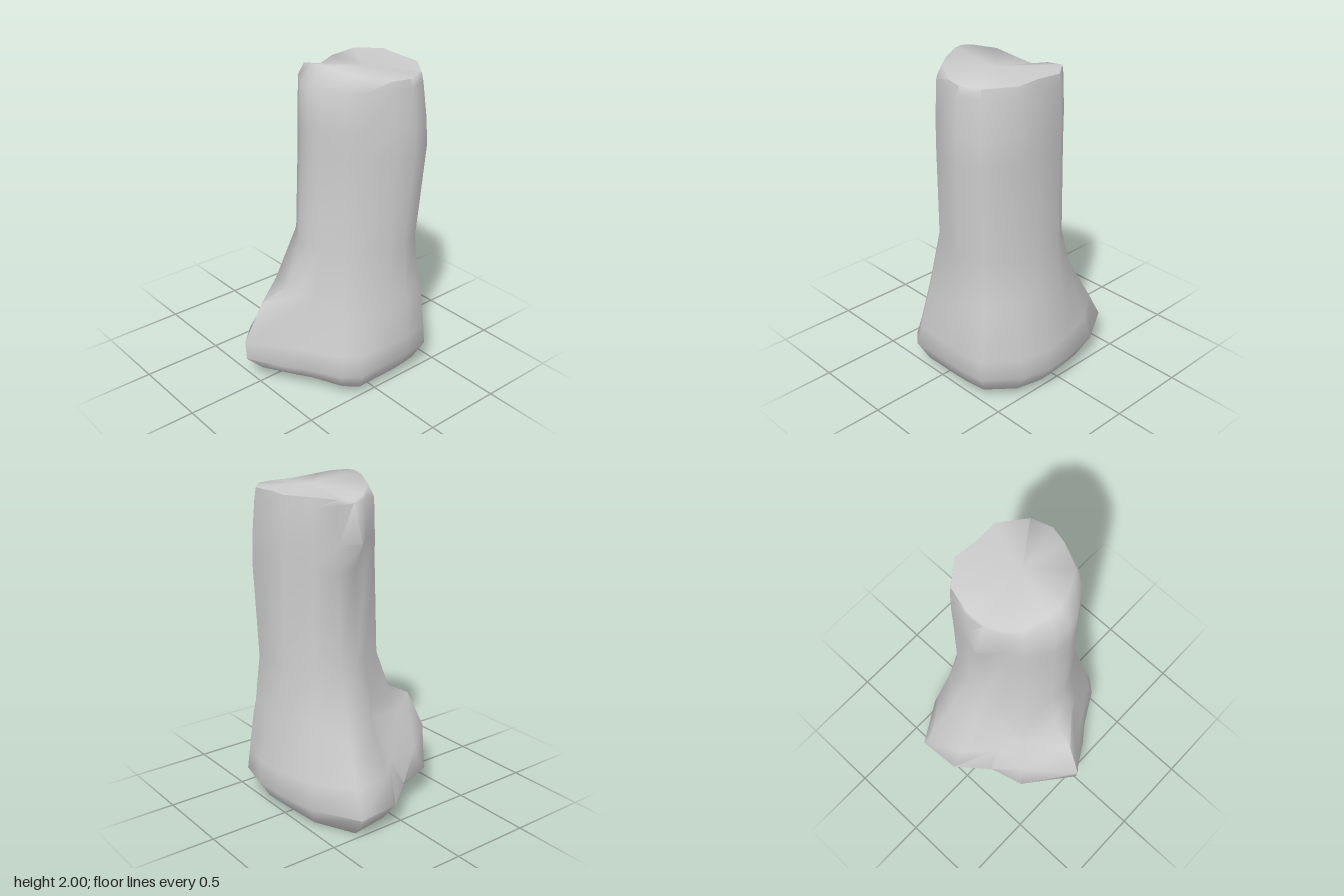
import * as THREE from 'three';
import { toCreasedNormals } from 'three/addons/utils/BufferGeometryUtils.js';

const CX = 0.15, CZ = -0.1; // axis of the trunk

// Corners around the axis: degrees from +x toward +z, trunk radius, root radius
const CORNERS = [
  [0, .36, .405], [33, .33, .487], [47, .32, .488], [74, .33, .487],
  [88, .34, .555], [105, .33, .705], [137, .32, .645], [157, .30, .575],
  [178, .31, .69], [199, .345, .75], [222, .39, .60], [248, .40, .50],
  [270, .36, .485], [294, .41, .483], [323, .43, .476], [343, .41, .42],
];

// Levels from the ground up: height, scale, root flare, flare of the front root, waist
const LEVELS = [
  [.06, .85, 1, 1, 0], [.18, 1, 1, .98, 0], [.30, 1, .8, 1, 0], [.55, 1, .46, .69, .03],
  [.63, 1, .37, .25, .07], [.92, .99, .06, .05, .1], [1.5, 1, 0, 0, 0],
  [1.66, 1, 0, 0, .02], [1.88, .98, 0, 0, .07], [1.93, .96, 0, 0, .08],
];

// Smooth bump that peaks in one direction and fades to the sides
const bump = (deg, peak) => Math.max(0, Math.cos(THREE.MathUtils.degToRad(deg - peak))) ** 2;

function trunkGeometry() {
  const n = CORNERS.length, last = LEVELS.length - 1;
  const pos = [], index = [];
  LEVELS.forEach(([height, scale, flare, frontFlare, waist], i) => {
    CORNERS.forEach(([deg, trunk, root]) => {
      // The front root is a stub; the hollow beside it falls away faster
      let f = flare;
      if (deg === 105) f = frontFlare;
      if (deg === 157) f = flare * flare;
      let r = scale * THREE.MathUtils.lerp(trunk, root, f) * (1 - waist * bump(deg, 335));
      let y = height;
      // Pointed splinter below the rim
      if (height === 1.66 && deg === 178) r += 0.07;
      // Uneven ground edge, with the left-hand root reaching lowest
      if (i === 0) y += 0.03 * bump(deg, 110) - 0.06 * bump(deg, 199) ** 2;
      if (i === 1) y -= 0.04 * bump(deg, 199);
      // Uneven rim: high and drawn in at the front, notched above the splinter
      if (i === last) {
        y += 0.07 * bump(deg, 80) + 0.015 * bump(deg, 260) - 0.05 * bump(deg, 178) ** 6;
        r -= 0.07 * bump(deg, 85);
      }
      const a = THREE.MathUtils.degToRad(deg);
      pos.push(CX + r * Math.cos(a), y, CZ + r * Math.sin(a));
    });
  });
  const bottom = pos.length / 3, top = bottom + 1;
  pos.push(0.05, 0.06, -0.05, 0.19, 1.95, -0.14);

  for (let k = 0; k < n; k++) {
    const k1 = (k + 1) % n;
    for (let i = 0; i < last; i++) {
      const a = i * n + k, b = i * n + k1;
      index.push(a, a + n, b, b, a + n, b + n);
    }
    index.push(bottom, k, k1);                     // underside
    index.push(top, last * n + k1, last * n + k);  // broken top
  }
  const geo = new THREE.BufferGeometry();
  geo.setAttribute('position', new THREE.Float32BufferAttribute(pos, 3));
  geo.setIndex(index);
  return toCreasedNormals(geo, 1.3);
}

export function createModel() {
  const group = new THREE.Group();
  group.name = 'treeStump';

  // Trunk with flared roots and a snapped-off top
  const trunk = new THREE.Mesh(trunkGeometry(), new THREE.MeshStandardMaterial({ color: 0xcccccc }));
  trunk.name = 'trunk';
  group.add(trunk);
  return group;
}
